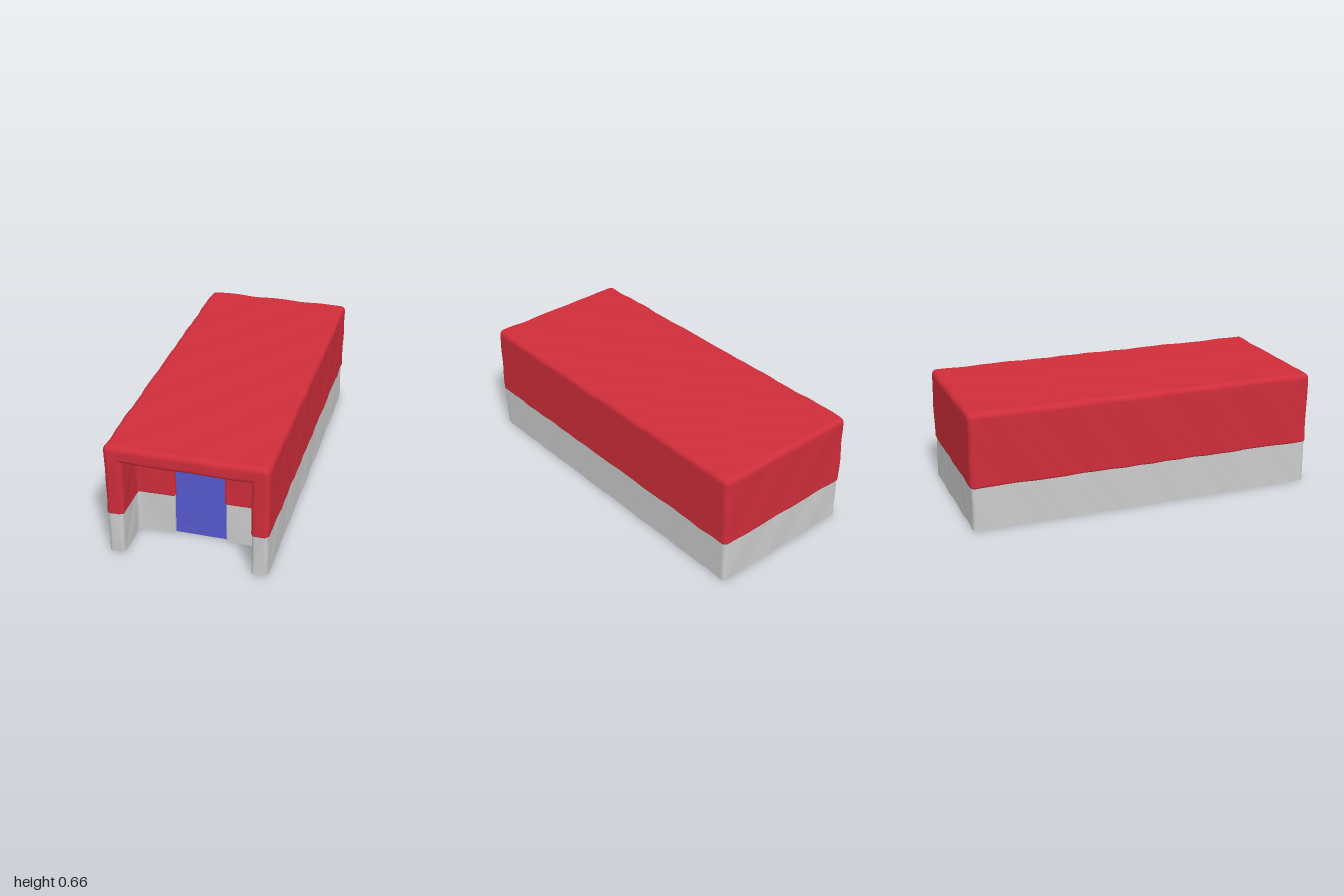
import * as THREE from 'three';

const W = 0.437, D = 0.996, H = 0.655, R = 0.03; // half width, half depth, height, edge radius
const PX = 0.34, PZ = 0.76, PY = 0.56;           // porch half width, back wall z, ceiling
const DX = 0.138, DY = 0.435, DZ = 0.73;         // doorway half width, head, door plane
const SPLIT = 0.245;                             // height where the base meets the upper shell

const mat = (color) => new THREE.MeshStandardMaterial({ color, side: THREE.DoubleSide });

// Gentle hand-made unevenness, a function of position so neighbouring parts stay joined
function wobble(x, y, z) {
  const a = 0.0016;
  return [
    x + a * (Math.sin(17 * z + 9 * y) + Math.sin(31 * y + 41 * z + 2) * 0.7),
    y + a * (Math.sin(19 * x + 13 * z + 1) + Math.sin(37 * z - 23 * x) * 0.7),
    z + a * (Math.sin(21 * x + 15 * y + 2) + Math.sin(39 * x - 27 * y) * 0.6),
  ];
}

// Smooth surface from a list of equally long rows of points
function skin(rows) {
  const n = rows[0].length, idx = [];
  for (let i = 0; i < rows.length - 1; i++)
    for (let j = 0; j < n - 1; j++) {
      const a = i * n + j, b = a + n;
      idx.push(a, b, a + 1, b, b + 1, a + 1);
    }
  const g = new THREE.BufferGeometry();
  const pos = rows.flat().flatMap((p) => wobble(...p));
  g.setAttribute('position', new THREE.Float32BufferAttribute(pos, 3));
  g.setIndex(idx);
  g.computeVertexNormals();
  return g;
}

// Path of right-angled corners [u, v, radius], rounded and evenly subdivided
function roundedPath(corners, step = 0.035) {
  const out = [];
  const lineTo = (q) => {
    const p = out[out.length - 1];
    const n = Math.max(1, Math.ceil(p.distanceTo(q) / step));
    for (let i = 1; i <= n; i++) out.push(p.clone().lerp(q, i / n));
  };
  const pts = corners.map((c) => new THREE.Vector2(c[0], c[1]));
  out.push(pts[0]);
  for (let k = 1; k < pts.length; k++) {
    const r = corners[k][2] || 0;
    if (!r || k === pts.length - 1) { lineTo(pts[k]); continue; }
    const a = pts[k].clone().sub(pts[k - 1]).normalize();
    const b = pts[k + 1].clone().sub(pts[k]).normalize();
    const c = pts[k].clone().addScaledVector(a, -r).addScaledVector(b, r);
    lineTo(c.clone().addScaledVector(b, -r));
    for (let i = 1; i <= 6; i++) {
      const t = (i / 6) * Math.PI / 2;
      out.push(c.clone().addScaledVector(a, r * Math.sin(t)).addScaledVector(b, -r * Math.cos(t)));
    }
  }
  return out;
}

// Wall: a plan path (x, z) raised along a profile of (inset, y)
function wall(path, profile) {
  const rows = path.map((p, i) => {
    const t = path[Math.min(i + 1, path.length - 1)].clone().sub(path[Math.max(i - 1, 0)]).normalize();
    return profile.map((q) => [p.x - t.y * q.x, q.y, p.y + t.x * q.x]);
  });
  return skin(rows);
}

// Beam: a section (z, y) drawn out along x
function beam(section, half) {
  const n = Math.ceil(half / 0.018), rows = [];
  for (let i = 0; i <= n; i++) rows.push(section.map((s) => [-half + (2 * half * i) / n, s.y, s.x]));
  return skin(rows);
}

const mirrorPath = (path) => path.map((p) => new THREE.Vector2(-p.x, p.y)).reverse();

export function createModel() {
  const model = new THREE.Group();
  const red = mat(0xcf2d3a), grey = mat(0xcccccc), blue = mat(0x565acf);
  const add = (name, geometry, material, parent = model) => {
    const m = new THREE.Mesh(geometry, material);
    m.name = name;
    parent.add(m);
    return m;
  };

  // Plan paths: the outside, and the porch side with its doorway reveal
  const front = PX + 0.025;
  const outside = roundedPath([[-front, D], [-W, D, R], [-W, -D, R], [W, -D, R], [W, D, R], [front, D]]);
  const porchRight = roundedPath([[-DX, DZ - 0.01], [-DX, PZ, 0.012], [-PX, PZ], [-PX, D, 0.025], [-front, D]]);
  const porchLeft = mirrorPath(porchRight);

  // Base course, set slightly behind the upper shell
  const basePath = [...porchRight, ...outside.slice(1), ...porchLeft.slice(1)];
  add('baseWall', wall(basePath, roundedPath([[0.006, 0.003], [0.006, SPLIT + 0.008]])), grey);

  // Upper shell with a soft lower lip and rounded roof edge
  const lip = [[0.016, SPLIT - 0.002], [0, SPLIT - 0.002, 0.012]];
  add('upperWall', wall(outside, roundedPath([...lip, [0, H, R], [R, H]])), red);
  const porchProfile = roundedPath([...lip, [0, PY + 0.02]]);
  add('porchWallRight', wall(porchRight, porchProfile), red);
  add('porchWallLeft', wall(porchLeft, porchProfile), red);

  // Porch lintel and ceiling, and the wall above the doors
  add('porchLintel', beam(roundedPath([[D - R, H], [D, H, R], [D, PY, 0.025], [PZ, PY]]), front), red);
  add('doorHead', beam(roundedPath([[PZ, PY + 0.005], [PZ, DY, 0.012], [DZ - 0.01, DY]]), DX + 0.004), red);

  // Roof
  const roofRows = [];
  for (let i = 0; i <= 56; i++) {
    const row = [];
    for (let j = 0; j <= 24; j++)
      row.push([(W - R) * (j / 12 - 1), H, (D - R) * (i / 28 - 1)]);
    roofRows.push(row);
  }
  add('roof', skin(roofRows), red);

  // Double door: two leaves, a recessed centre strip and rows of rivets
  const doors = new THREE.Group();
  doors.name = 'doubleDoor';
  model.add(doors);
  const leafW = 0.14, leafH = DY + 0.002, thick = 0.012;
  const rivet = new THREE.SphereGeometry(0.0055, 12, 6, 0, Math.PI * 2, 0, Math.PI / 2).rotateX(Math.PI / 2);
  for (const s of [-1, 1]) {
    const leaf = add(s < 0 ? 'doorLeafRight' : 'doorLeafLeft', new THREE.BoxGeometry(leafW, leafH, thick), blue, doors);
    leaf.position.set(s * (0.005 + leafW / 2), leafH / 2, DZ - thick / 2);
    for (const y of [0.034, 0.22, 0.405])
      for (let i = 0; i < 5; i++)
        add('rivet', rivet, blue, doors).position.set(s * (0.023 + i * 0.0245), y, DZ);
  }
  add('doorSeam', new THREE.BoxGeometry(0.012, leafH, 0.008), blue, doors).position.set(0, leafH / 2, DZ - 0.007);

  return model;
}
